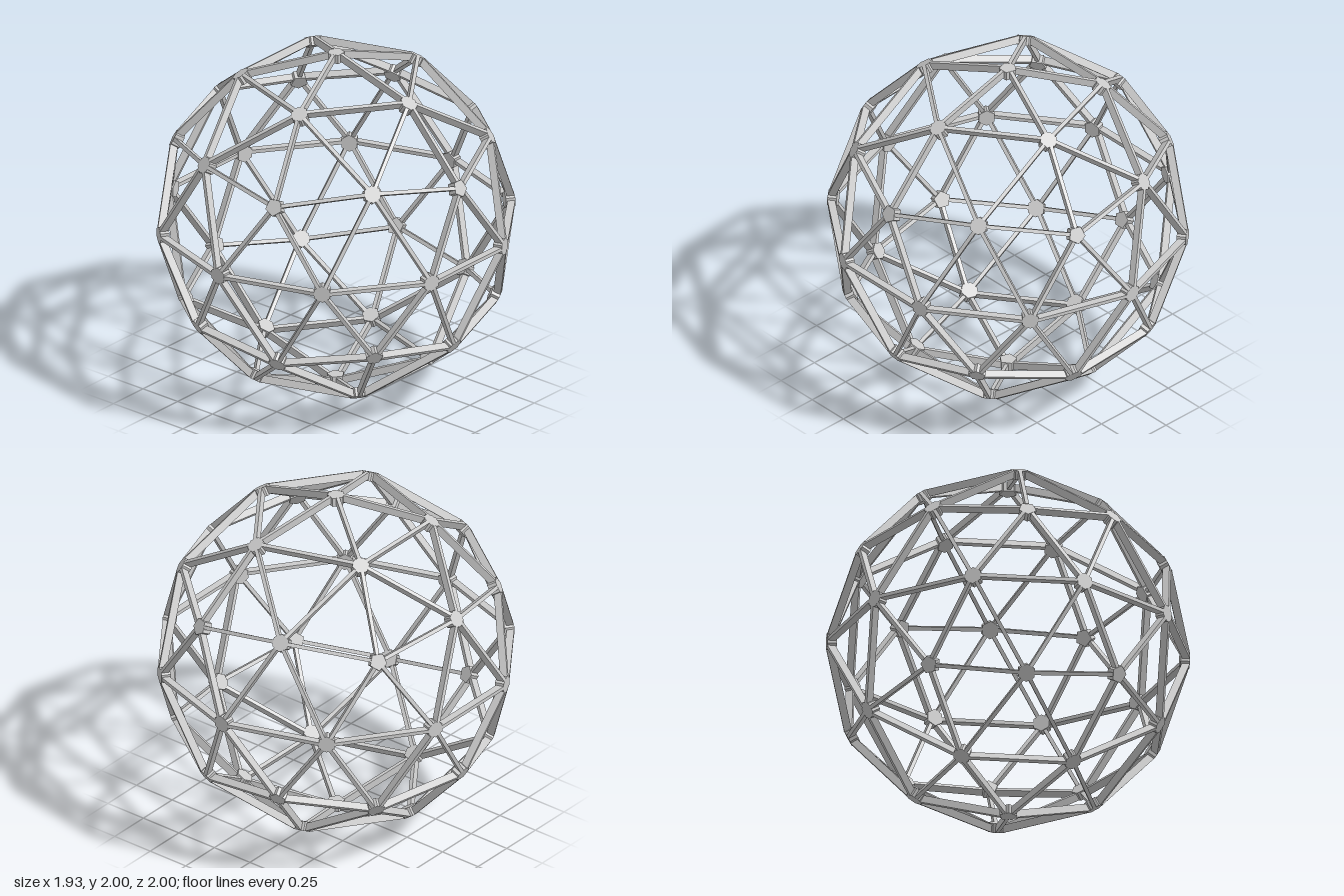
import * as THREE from 'three';

const STRUT_WIDTH = 0.021, STRUT_DEPTH = 0.042;
const HUB_RADIUS = 0.05, HUB_DEPTH = 0.052;

// Icosahedron corners on a unit sphere, one corner straight up
function icosahedronCorners() {
  const pts = [new THREE.Vector3(0, 1, 0), new THREE.Vector3(0, -1, 0)];
  const y = 1 / Math.sqrt(5), r = 2 / Math.sqrt(5);
  for (let i = 0; i < 5; i++) {
    const a = (i * Math.PI * 2) / 5;
    const p = new THREE.Vector3(r * Math.cos(a), y, r * Math.sin(a));
    pts.push(p, p.clone().negate());
  }
  return pts;
}

// All pairs of points closer than a limit
function pairsWithin(pts, limit) {
  const pairs = [];
  pts.forEach((a, i) => pts.slice(i + 1).forEach((b) => {
    if (a.distanceTo(b) < limit) pairs.push([a, b]);
  }));
  return pairs;
}

// Unit direction from one node to another, flat on the first node's hub
function hubDirection(from, to) {
  return to.clone().addScaledVector(from, -from.dot(to)).normalize();
}

// Point on the outer rim of a hub where the strut to another node starts
function rimPoint(from, to) {
  return from.clone().addScaledVector(hubDirection(from, to), HUB_RADIUS * 0.84);
}

// Place a mesh by its tangent (local x) and outward normal (local y)
function orient(mesh, tangent, normal) {
  const z = new THREE.Vector3().crossVectors(tangent, normal);
  mesh.quaternion.setFromRotationMatrix(new THREE.Matrix4().makeBasis(tangent, normal, z));
}

export function createModel() {
  const model = new THREE.Group();
  model.name = 'geodesicSphere';
  const material = new THREE.MeshStandardMaterial({ color: 0xcccccc, flatShading: true });

  // Split every icosahedron edge once and push the midpoints to the sphere
  const corners = icosahedronCorners();
  const midpoints = pairsWithin(corners, 1.1).map(([a, b]) => a.clone().add(b).normalize());
  const nodes = [...corners, ...midpoints];
  const edges = pairsWithin(nodes, 0.65);

  // Struts: flat bars on edge, running from hub rim to hub rim
  const struts = new THREE.Group();
  struts.name = 'struts';
  for (const [a, b] of edges) {
    const start = rimPoint(a, b), end = rimPoint(b, a);
    const normal = a.clone().add(b).normalize();
    const bar = new THREE.Mesh(new THREE.BoxGeometry(start.distanceTo(end), STRUT_DEPTH, STRUT_WIDTH), material);
    bar.name = 'strut';
    bar.position.copy(start).add(end).multiplyScalar(0.5).addScaledVector(normal, -STRUT_DEPTH / 2);
    orient(bar, end.sub(start).normalize(), normal);
    struts.add(bar);
  }

  // Hubs: small prisms with one flat side per strut
  const hubs = new THREE.Group();
  hubs.name = 'hubs';
  for (const node of nodes) {
    const neighbours = edges.filter((e) => e.includes(node)).map(([a, b]) => (a === node ? b : a));
    const sides = neighbours.length;
    const prism = new THREE.CylinderGeometry(HUB_RADIUS, HUB_RADIUS, HUB_DEPTH, sides);
    prism.rotateY(Math.PI / 2 + Math.PI / sides);
    const hub = new THREE.Mesh(prism, material);
    hub.name = 'hub';
    hub.position.copy(node).multiplyScalar(1 - HUB_DEPTH / 2);
    orient(hub, hubDirection(node, neighbours[0]), node);
    hubs.add(hub);
  }

  model.add(struts, hubs);
  model.position.y = 1;
  return model;
}
